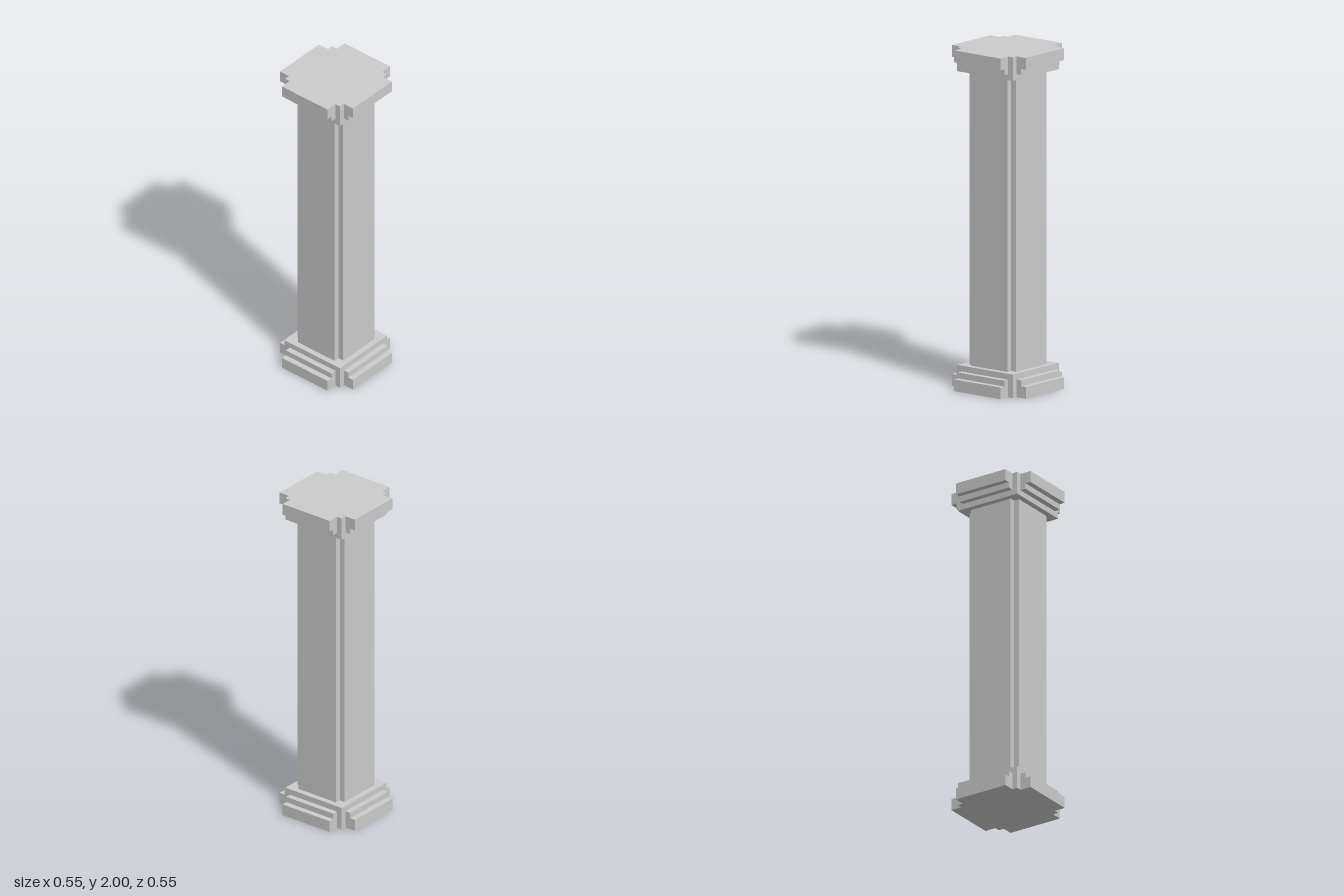
import * as THREE from 'three';

const U = 2 / 58; // grid unit: the pillar is 58 units tall
const material = new THREE.MeshStandardMaterial({ color: 0xcccccc, flatShading: true });

function extrude(name, points, depth) {
  const shape = new THREE.Shape(points.map(([x, y]) => new THREE.Vector2(x * U, y * U)));
  const geometry = new THREE.ExtrudeGeometry(shape, { depth: depth * U, bevelEnabled: false });
  geometry.translate(0, 0, -depth * U / 2);
  const mesh = new THREE.Mesh(geometry, material);
  mesh.name = name;
  return mesh;
}

// Square block with a two-step moulding on each side, standing on y = 0
function createPlinth(name) {
  const group = new THREE.Group();
  group.name = name;

  const block = new THREE.Mesh(new THREE.BoxGeometry(12 * U, 4 * U, 12 * U), material);
  block.name = name + 'Block';
  block.position.y = 2 * U;
  group.add(block);

  const steps = [[6, 0], [8, 0], [8, 2], [7, 2], [7, 3], [6, 3]];
  for (let i = 0; i < 4; i++) {
    const moulding = extrude(name + 'Moulding', steps, 10);
    moulding.rotation.y = i * Math.PI / 2;
    group.add(moulding);
  }
  return group;
}

export function createModel() {
  const pillar = new THREE.Group();
  pillar.name = 'pillar';

  // Base, and the same form turned over as the capital
  const base = createPlinth('base');
  const capital = createPlinth('capital');
  capital.rotation.x = Math.PI;
  capital.position.y = 58 * U;

  // Shaft with a square notch along each corner
  const outline = [
    [5, -4], [5, 4], [4, 4], [4, 5], [-4, 5], [-4, 4],
    [-5, 4], [-5, -4], [-4, -4], [-4, -5], [4, -5], [4, -4],
  ];
  const shaft = extrude('shaft', outline, 50);
  shaft.rotation.x = -Math.PI / 2;
  shaft.position.y = 29 * U;

  pillar.add(base, shaft, capital);
  return pillar;
}
